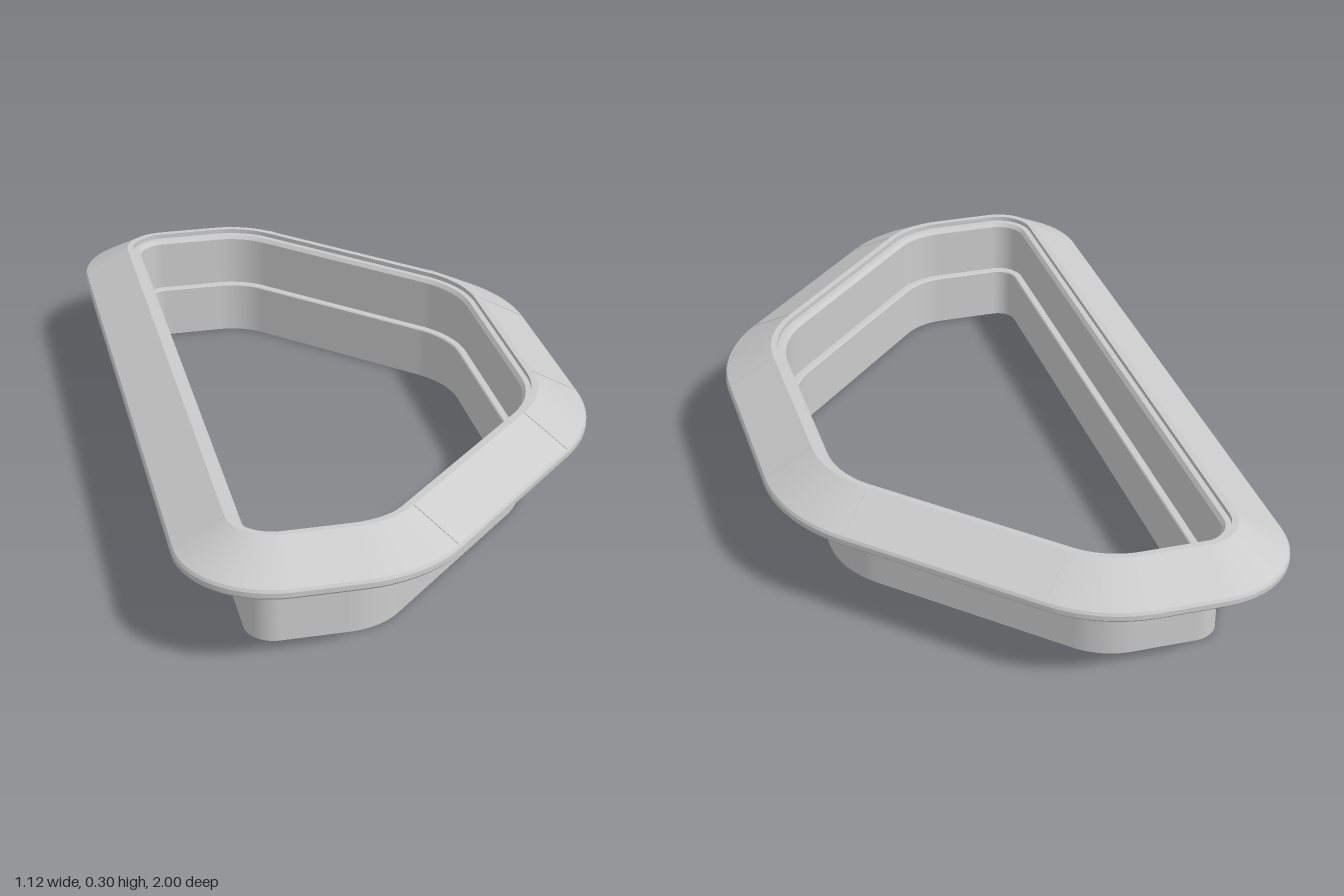
import * as THREE from 'three';

// Rounded corners of the outer rim: centre x, centre z, radius, start and end angle in degrees
const half = [
  [0.1425, 0.23, 0.42, 0, 45],
  [-0.174, 0.66, 0.34, 45, 90],
  [-0.3325, 0.77, 0.23, 90, 180],
];
const corners = [
  ...half,
  ...half.slice().reverse().map(([x, z, r, a, b]) => [x, -z, r, 360 - b, 360 - a]),
];

// Outer rim as points with outward normals
function rimLoop(steps = 14) {
  const loop = [];
  for (const [cx, cz, r, a0, a1] of corners) {
    for (let i = 0; i <= steps; i++) {
      const a = THREE.MathUtils.degToRad(a0 + ((a1 - a0) * i) / steps);
      const nx = Math.cos(a), nz = Math.sin(a);
      loop.push({ x: cx + r * nx, z: cz + r * nz, nx, nz });
    }
  }
  return loop;
}

// Sweep a closed profile of [inset from rim, height] around the rim:
// crisp along the profile's edges, smooth around the corners
function sweep(profile, loop) {
  const pos = [], nor = [], idx = [];
  profile.forEach((p, k) => {
    const q = profile[(k + 1) % profile.length];
    const dr = p[0] - q[0], dy = q[1] - p[1], len = Math.hypot(dr, dy);
    const base = pos.length / 3, n = loop.length;
    loop.forEach((s, i) => {
      for (const [d, y] of [p, q]) {
        pos.push(s.x - d * s.nx, y, s.z - d * s.nz);
        nor.push((s.nx * dy) / len, -dr / len, (s.nz * dy) / len);
      }
      const a = base + 2 * i, e = base + 2 * ((i + 1) % n);
      idx.push(a, a + 1, e + 1, a, e + 1, e);
    });
  });
  const g = new THREE.BufferGeometry();
  g.setAttribute('position', new THREE.Float32BufferAttribute(pos, 3));
  g.setAttribute('normal', new THREE.Float32BufferAttribute(nor, 3));
  g.setIndex(idx);
  return g;
}

export function createModel() {
  const group = new THREE.Group();
  const material = new THREE.MeshStandardMaterial({ color: 0xcccccc });
  const loop = rimLoop();
  const add = (name, geometry) => {
    const mesh = new THREE.Mesh(geometry, material);
    mesh.name = name;
    group.add(mesh);
    return mesh;
  };

  // Bevelled flange with a stepped inner lip
  add('flange', sweep([
    [0.16, 0.14], [0.12, 0.14], [0.004, 0.207], [0, 0.212], [0, 0.224], [0.004, 0.231],
    [0.122, 0.297], [0.138, 0.297], [0.138, 0.285], [0.152, 0.285], [0.16, 0.275],
  ], loop));

  // Thin upright collar, its top forming a ledge inside the flange
  add('collar', sweep([
    [0.159, 0], [0.159, 0.141], [0.177, 0.141], [0.18, 0.138], [0.18, 0],
  ], loop));

  // Fine bead around the collar
  add('collarBead', sweep([
    [0.16, 0.103], [0.156, 0.105], [0.156, 0.111], [0.16, 0.113],
  ], loop));

  // Narrow seams across the upper bevel where the angled sides meet the corners
  const run = 0.118, rise = 0.066;
  const seam = new THREE.BoxGeometry(Math.hypot(run, rise), 0.003, 0.004);
  seam.rotateZ(-Math.atan2(rise, run));
  for (const [cx, cz, r, a0, a1] of corners) {
    for (const deg of [a0, a1]) {
      if (deg % 180 === 90) continue;
      if (deg === 180) continue;
      const a = THREE.MathUtils.degToRad(deg), d = r - 0.063;
      const mesh = add('bevelSeam', seam);
      mesh.position.set(cx + d * Math.cos(a), 0.264, cz + d * Math.sin(a));
      mesh.rotation.y = -a;
    }
  }
  return group;
}
